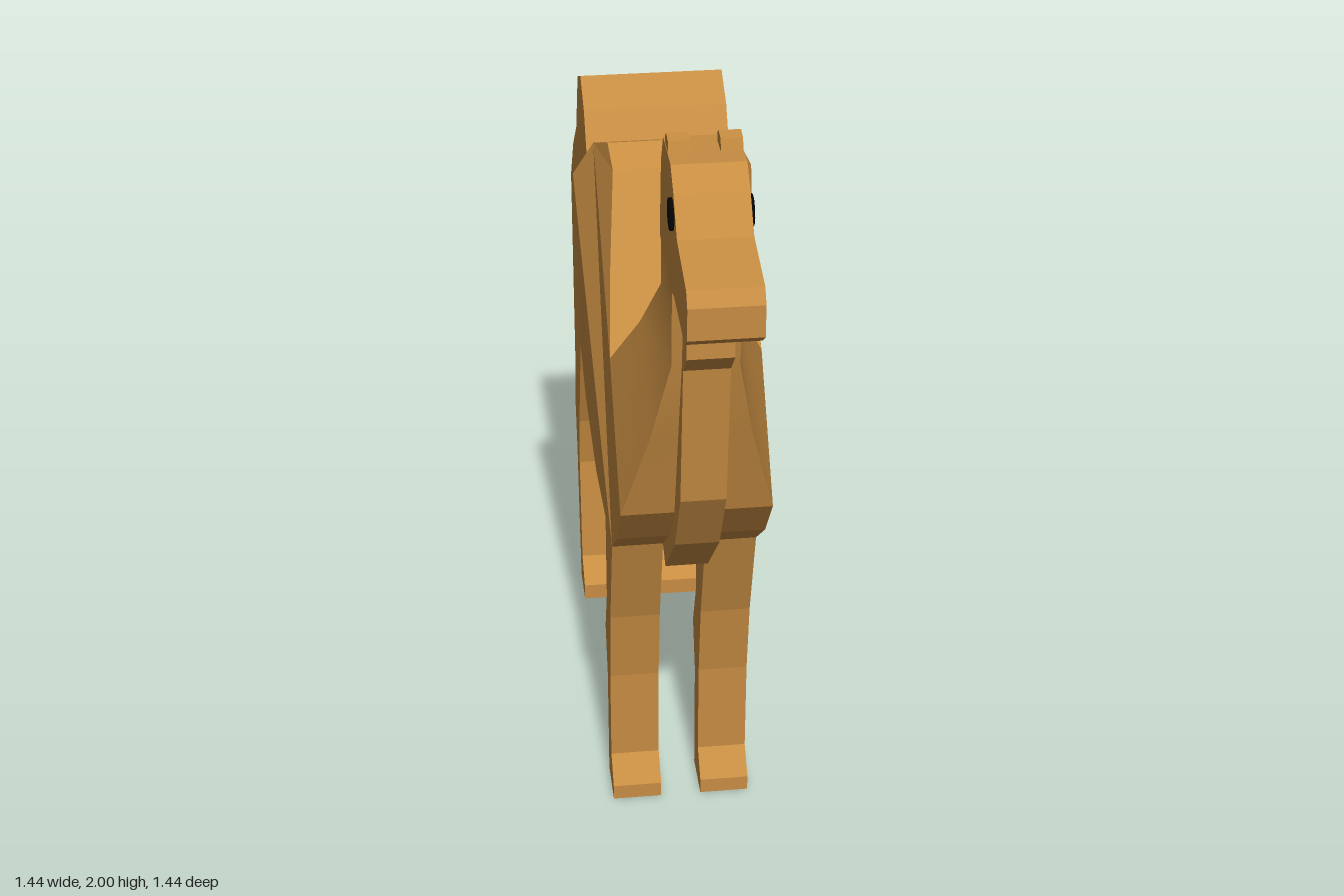
import * as THREE from 'three';
import { toCreasedNormals } from 'three/addons/utils/BufferGeometryUtils.js';

// Built facing +x (local z is the animal's right), then turned about y.
export function createModel() {
  const fur = new THREE.MeshStandardMaterial({ color: 0xc68c42 });
  fur.name = 'fur';
  const black = new THREE.MeshStandardMaterial({ color: 0x050505 });
  black.name = 'black';

  const camel = new THREE.Group();
  camel.name = 'camel';

  const add = (name, geometry, material = fur) => {
    const mesh = new THREE.Mesh(geometry, material);
    mesh.name = name;
    camel.add(mesh);
    return mesh;
  };

  // Flat side outline extruded across z
  const slab = (points, zMin, zMax) => {
    const shape = new THREE.Shape(points.map(([x, y]) => new THREE.Vector2(x, y)));
    return new THREE.ExtrudeGeometry(shape, { depth: zMax - zMin, bevelEnabled: false })
      .translate(0, 0, zMin);
  };

  // Body with two humps: x, y, half width (default 0.17)
  const outline = [
    [0.30, 1.33], [0.17, 1.49, 0.155], [0.03, 1.66, 0.134], [-0.03, 1.70, 0.14],
    [-0.12, 1.66, 0.165], [-0.17, 1.56, 0.21], [-0.225, 1.51], [-0.32, 1.65],
    [-0.41, 1.70], [-0.50, 1.66], [-0.58, 1.49], [-0.70, 1.39], [-0.81, 1.25],
    [-0.81, 1.03], [-0.60, 0.85], [-0.45, 0.78], [-0.15, 0.747], [0.11, 0.78],
    [0.28, 0.81], [0.41, 0.92], [0.51, 1.05],
  ];
  const body = slab(outline, -1, 1);
  const pos = body.attributes.position;
  for (let i = 0; i < pos.count; i++) {
    const match = outline.find(([x, y]) =>
      Math.abs(x - pos.getX(i)) < 1e-4 && Math.abs(y - pos.getY(i)) < 1e-4);
    pos.setZ(i, pos.getZ(i) * (match?.[2] ?? 0.17));
  }
  body.computeVertexNormals();
  add('body', body);

  // Neck: slanted four-cornered sections (back x, y, front x, y, half width)
  const sections = [
    [0.30, 1.33, 0.51, 1.05, 0.17],
    [0.39, 1.47, 0.575, 1.28, 0.112],
    [0.445, 1.59, 0.64, 1.50, 0.072],
    [0.467, 1.74, 0.67, 1.71, 0.074],
  ];
  const vertices = [];
  const index = [];
  sections.forEach(([bx, by, fx, fy, w], s) => {
    vertices.push(bx, by, -w, bx, by, w, fx, fy, w, fx, fy, -w);
    if (s === 0) return;
    for (let i = 0; i < 4; i++) {
      const a = (s - 1) * 4 + i;
      const b = (s - 1) * 4 + (i + 1) % 4;
      index.push(a, b, b + 4, a, b + 4, a + 4);
    }
  });
  const neck = new THREE.BufferGeometry();
  neck.setAttribute('position', new THREE.Float32BufferAttribute(vertices, 3));
  neck.setIndex(index);
  add('neck', toCreasedNormals(neck, 0.6));

  // Head
  add('head', slab([
    [0.94, 1.73], [0.94, 1.80], [0.92, 1.83], [0.77, 1.86], [0.71, 1.93],
    [0.66, 1.97], [0.53, 1.97], [0.49, 1.90], [0.465, 1.72], [0.66, 1.69],
    [0.72, 1.71], [0.90, 1.70],
  ], -0.076, 0.076));

  // Throat mane running down to the chest
  add('mane', slab([
    [0.72, 1.71], [0.72, 1.56], [0.66, 1.50], [0.62, 1.15], [0.52, 0.97],
    [0.33, 0.78], [0.26, 0.82], [0.45, 1.10], [0.55, 1.50], [0.60, 1.71],
  ], -0.05, 0.05));

  // Tail
  add('tail', slab([
    [-0.80, 1.25], [-0.88, 1.15], [-0.93, 1.02], [-0.95, 0.88], [-0.94, 0.72],
    [-0.92, 0.72], [-0.89, 0.78], [-0.89, 0.95], [-0.86, 1.08], [-0.80, 1.17],
  ], -0.022, 0.022));

  // Legs, ears and eyes on both sides
  const frontLeg = [
    [0.28, 0.81], [0.205, 0.55], [0.175, 0.35], [0.17, 0.10], [0.226, 0.04],
    [0.226, 0], [0.10, 0], [0.10, 0.30], [0.057, 0.42], [0.11, 0.55], [0.11, 0.78],
  ];
  const hindLeg = [
    [-0.60, 0.85], [-0.707, 0.55], [-0.735, 0.40], [-0.71, 0.10], [-0.642, 0.045],
    [-0.642, 0], [-0.765, 0], [-0.79, 0.20], [-0.81, 0.40], [-0.85, 0.55],
    [-0.81, 0.65], [-0.81, 1.03],
  ];
  const ear = [[0.565, 1.95], [0.555, 1.985], [0.575, 2.0], [0.605, 1.995], [0.62, 1.95]];
  for (const [side, s] of [['left', -1], ['right', 1]]) {
    const span = (a, b) => (s > 0 ? [a, b] : [-b, -a]);
    add(side + 'FrontLeg', slab(frontLeg, ...span(0.05, 0.17)));
    add(side + 'HindLeg', slab(hindLeg, ...span(0.046, 0.17)));
    add(side + 'Ear', slab(ear, ...span(0.03, 0.075)));
    const eye = add(side + 'Eye',
      new THREE.CylinderGeometry(0.033, 0.033, 0.009, 12).rotateX(Math.PI / 2), black);
    eye.position.set(0.695, 1.88, s * 0.079);
  }

  // Diagonal stance
  camel.rotation.y = -0.75 * Math.PI;
  const model = new THREE.Group();
  model.name = 'model';
  model.add(camel);
  return model;
}
